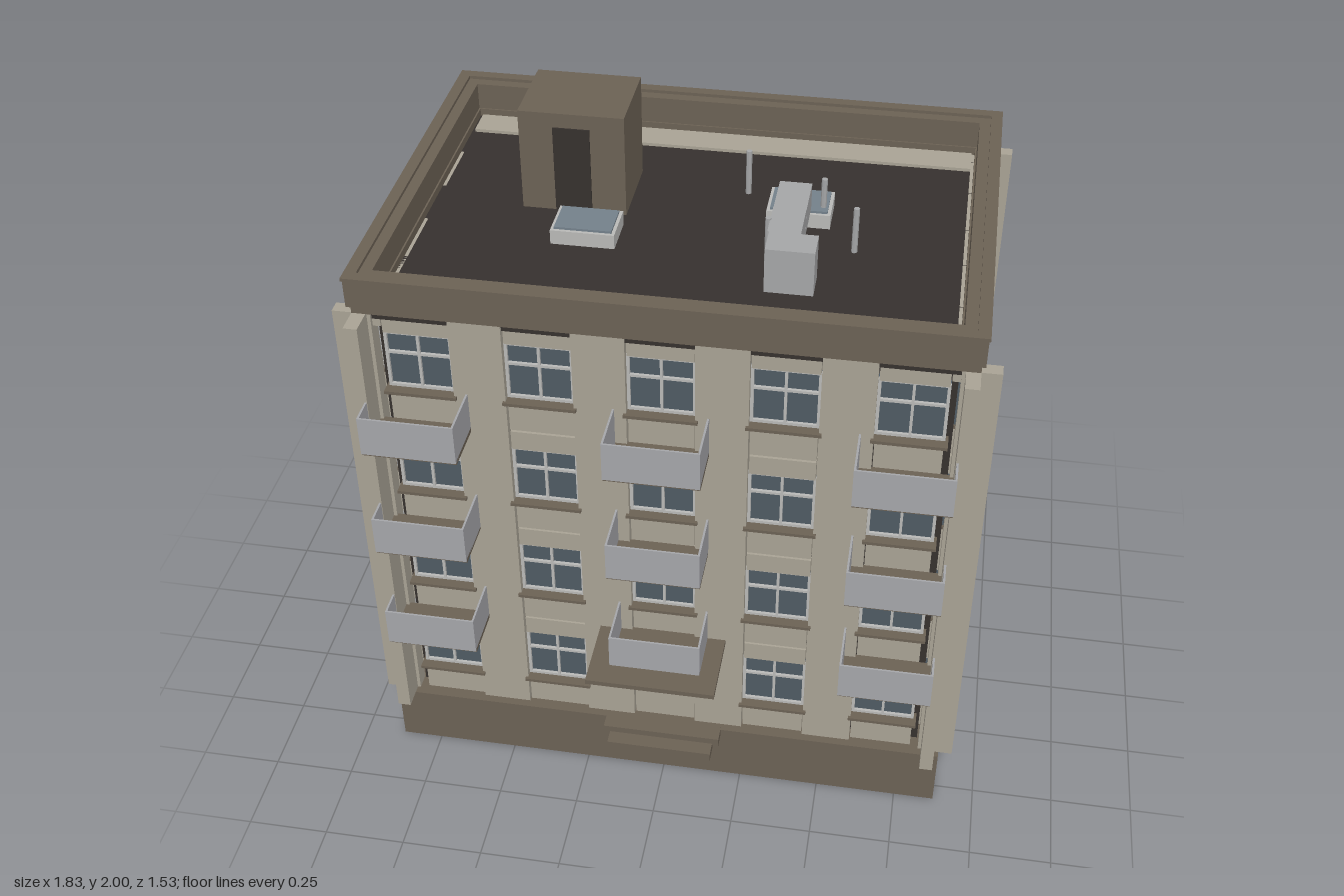
import * as THREE from 'three';

const mat = (color, side = THREE.FrontSide) => {
  const m = new THREE.MeshStandardMaterial({ color, flatShading: true });
  m.side = side;
  return m;
};
const M = {
  wall: mat(0xa8a294), brown: mat(0x6b6154), dark: mat(0x36312e), glass: mat(0x4f5a63),
  frame: mat(0xb8b8b6), panel: mat(0xa4a5a9, THREE.DoubleSide), duct: mat(0xa4a5a6), sky: mat(0x73808a),
};
const CZ = -0.075;           // centre of the block in z
const HX = 0.85, HZ = 0.605; // half extents of the wall faces

// Box given by its min and max along each axis
function box(parent, name, material, x0, x1, y0, y1, z0, z1) {
  const mesh = new THREE.Mesh(new THREE.BoxGeometry(x1 - x0, y1 - y0, z1 - z0), material);
  mesh.position.set((x0 + x1) / 2, (y0 + y1) / 2, (z0 + z1) / 2);
  mesh.name = name;
  parent.add(mesh);
  return mesh;
}

const rectPath = (P, x0, x1, y0, y1) => {
  const p = new P();
  p.moveTo(x0, y0); p.lineTo(x1, y0); p.lineTo(x1, y1); p.lineTo(x0, y1);
  p.closePath();
  return p;
};

// Flat rectangular ring around the block, used for cornice and parapet
function ring(parent, name, material, hx, hz, t, y0, y1) {
  const s = rectPath(THREE.Shape, -hx, hx, -hz, hz);
  s.holes.push(rectPath(THREE.Path, -hx + t, hx - t, -hz + t, hz - t));
  const g = new THREE.ExtrudeGeometry(s, { depth: y1 - y0, bevelEnabled: false });
  g.rotateX(-Math.PI / 2);
  const mesh = new THREE.Mesh(g, material);
  mesh.position.set(0, y0, CZ);
  mesh.name = name;
  parent.add(mesh);
}

// Window frame: one plate with four panes cut out
const WIN_W = 0.195, WIN_H = 0.19;
function windowFrameGeometry() {
  const w = WIN_W / 2, b = 0.009, m = 0.004, t = 0.118;
  const s = rectPath(THREE.Shape, -w, w, 0, WIN_H);
  for (const [x0, x1] of [[-w + b, -m], [m, w - b]])
    for (const [y0, y1] of [[b, t - m], [t + m, WIN_H - b]])
      s.holes.push(rectPath(THREE.Path, x0, x1, y0, y1));
  return new THREE.ExtrudeGeometry(s, { depth: 0.012, bevelEnabled: false });
}
const frameGeo = windowFrameGeometry();

// One wall face: piers, recessed window bays, spandrels and sills; local +z points outward
function facade(name, angle, halfW, d, columns, hasDoor) {
  const g = new THREE.Group();
  g.name = name;
  g.rotation.y = angle;
  g.position.z = CZ;
  const w = WIN_W / 2, gap = 0.003;
  for (let i = 0; i < columns.length - 1; i++)
    box(g, 'pier', M.wall, columns[i] + w, columns[i + 1] - w, 0.2, 1.68, d - 0.06, d);
  for (const c of columns) {
    const x0 = c - w + gap, x1 = c + w - gap;
    box(g, 'spandrel', M.wall, x0, x1, 0.2, 0.305, d - 0.06, d - 0.012);
    for (let k = 0; k < 4; k++) {
      const y = 0.31 + k * 0.37;
      const top = k < 3 ? y + 0.37 : 1.68;
      if (k < 3) {
        box(g, 'spandrel', M.wall, x0, x1, y + WIN_H, y + 0.253, d - 0.06, d - 0.012);
        box(g, 'spandrel', M.wall, x0, x1, y + 0.26, top - 0.005, d - 0.06, d - 0.012);
      } else box(g, 'spandrel', M.wall, x0, x1, y + WIN_H, top, d - 0.06, d - 0.012);
      if (hasDoor && c === 0 && k === 0) {
        box(g, 'entranceDoor', M.dark, c - w, c + w, y - 0.005, y + WIN_H, d - 0.06, d - 0.02);
        continue;
      }
      box(g, 'windowGlass', M.glass, c - w, c + w, y, y + WIN_H, d - 0.06, d - 0.03);
      const f = new THREE.Mesh(frameGeo, M.frame);
      f.name = 'windowFrame';
      f.position.set(c, y, d - 0.033);
      g.add(f);
      box(g, 'windowSill', M.brown, c - w - 0.008, c + w + 0.008, y - 0.01, y, d - 0.05, d + 0.01);
    }
  }
  // wall above the dark corner slots
  for (const s of [-1, 1]) {
    const a = columns[columns.length - 1] + w, b = halfW - 0.04;
    box(g, 'cornerLintel', M.wall, s > 0 ? a : -b, s > 0 ? b : -a, 1.63, 1.68, d - 0.06, d - 0.012);
  }
  return g;
}

function balcony(cx, y) {
  const g = new THREE.Group();
  g.name = 'balcony';
  const w = 0.1375, t = 0.006, z0 = 0.52, z1 = 0.69;
  box(g, 'balconyFloor', M.brown, cx - w, cx + w, y, y + 0.014, z0, z1 - t);
  box(g, 'balconyFront', M.panel, cx - w, cx + w, y + 0.008, y + 0.133, z1 - t, z1);
  for (const s of [-1, 1])
    box(g, 'balconySide', M.panel, cx + s * (w - t / 2) - t / 2, cx + s * (w - t / 2) + t / 2,
      y + 0.008, y + 0.133, z0, z1 - t);
  return g;
}

function skylight(parent, x0, x1, z0, z1) {
  box(parent, 'skylightCurb', M.frame, x0, x1, 1.67, 1.725, z0, z1);
  box(parent, 'skylightGlass', M.sky, x0 + 0.01, x1 - 0.01, 1.72, 1.732, z0 + 0.01, z1 - 0.01);
}

export function createModel() {
  const model = new THREE.Group();
  model.name = 'apartmentBlock';

  // Plinth and dark inner core
  box(model, 'plinth', M.brown, -0.875, 0.875, 0, 0.2, -0.705, 0.555);
  box(model, 'core', M.dark, -HX + 0.045, HX - 0.045, 0.2, 1.67, CZ - HZ + 0.045, CZ + HZ - 0.045);

  // Four wall faces
  const wide = [-0.69, -0.345, 0, 0.345, 0.69], narrow = [-0.407, 0, 0.407];
  model.add(facade('frontFacade', 0, HX, HZ, wide, true));
  model.add(facade('backFacade', Math.PI, HX, HZ, wide, false));
  model.add(facade('leftFacade', Math.PI / 2, HZ, HX, narrow, false));
  model.add(facade('rightFacade', -Math.PI / 2, HZ, HX, narrow, false));

  // Corner posts, each with two projecting fins
  for (const sx of [-1, 1]) for (const sz of [-1, 1]) {
    const g = new THREE.Group();
    g.name = 'cornerPost';
    const part = (name, x0, x1, z0, z1) => box(g, name, M.wall,
      Math.min(sx * x0, sx * x1), Math.max(sx * x0, sx * x1), 0.2, 1.68,
      CZ + Math.min(sz * z0, sz * z1), CZ + Math.max(sz * z0, sz * z1));
    part('post', 0.81, HX, 0.555, HZ);
    part('outwardFin', 0.82, 0.86, 0.59, 0.688);
    part('sideFin', 0.83, 0.917, 0.57, 0.61);
    model.add(g);
  }

  // Balconies on three upper floors
  for (const cx of [-0.69, 0, 0.69])
    for (let k = 0; k < 3; k++) model.add(balcony(cx, 0.558 + k * 0.37));

  // Entrance canopy with brackets, and steps
  box(model, 'canopy', M.brown, -0.197, 0.193, 0.562, 0.578, 0.52, 0.763);
  const tri = new THREE.Shape([[0, 0], [0.23, 0], [0, -0.065]].map(p => new THREE.Vector2(...p)));
  const bracketGeo = new THREE.ExtrudeGeometry(tri, { depth: 0.006, bevelEnabled: false });
  bracketGeo.rotateY(-Math.PI / 2);
  for (const x of [-0.172, 0.178]) {
    const b = new THREE.Mesh(bracketGeo, M.brown);
    b.name = 'canopyBracket';
    b.position.set(x, 0.563, 0.525);
    model.add(b);
  }
  box(model, 'upperStep', M.brown, -0.185, 0.185, 0.172, 0.202, 0.54, 0.6);
  box(model, 'lowerStep', M.brown, -0.165, 0.165, 0.15, 0.18, 0.54, 0.645);

  // Cornice and parapet, roof deck and pale edge strips
  ring(model, 'cornice', M.brown, 0.86, 0.612, 0.06, 1.68, 1.705);
  ring(model, 'parapet', M.brown, 0.87, 0.622, 0.065, 1.705, 1.79);
  ring(model, 'parapetCap', M.brown, 0.874, 0.626, 0.035, 1.79, 1.8);
  box(model, 'roofDeck', M.dark, -0.84, 0.84, 1.655, 1.68, CZ - 0.595, CZ + 0.595);
  for (const s of [-1, 1])
    box(model, 'roofEdgeStrip', M.wall, -0.79, 0.79, 1.67, 1.69, CZ + s * 0.493 - 0.05, CZ + s * 0.493 + 0.05);

  // Stair penthouse
  box(model, 'penthouse', M.brown, -0.527, -0.212, 1.67, 2, -0.357, -0.092);
  box(model, 'penthouseDoor', M.dark, -0.425, -0.315, 1.68, 1.955, -0.1, -0.088);

  // Skylights, ventilation ducts and roof pipes
  skylight(model, -0.4, -0.21, -0.04, 0.1);
  skylight(model, 0.205, 0.395, -0.25, -0.11);
  box(model, 'ductRun', M.duct, 0.24, 0.335, 1.73, 1.815, -0.135, 0.015);
  box(model, 'ductRun', M.duct, 0.24, 0.335, 1.7, 1.82, 0.018, 0.155);
  box(model, 'ductElbow', M.duct, 0.245, 0.385, 1.68, 1.82, 0.155, 0.25);
  for (const [x, z] of [[0.13, -0.28], [0.477, 0], [0.37, -0.15], [0.235, 0.09]]) {
    const p = new THREE.Mesh(new THREE.CylinderGeometry(0.009, 0.009, 0.15, 8), M.duct);
    p.name = 'ventPipe';
    p.position.set(x, 1.75, z);
    model.add(p);
  }
  return model;
}
